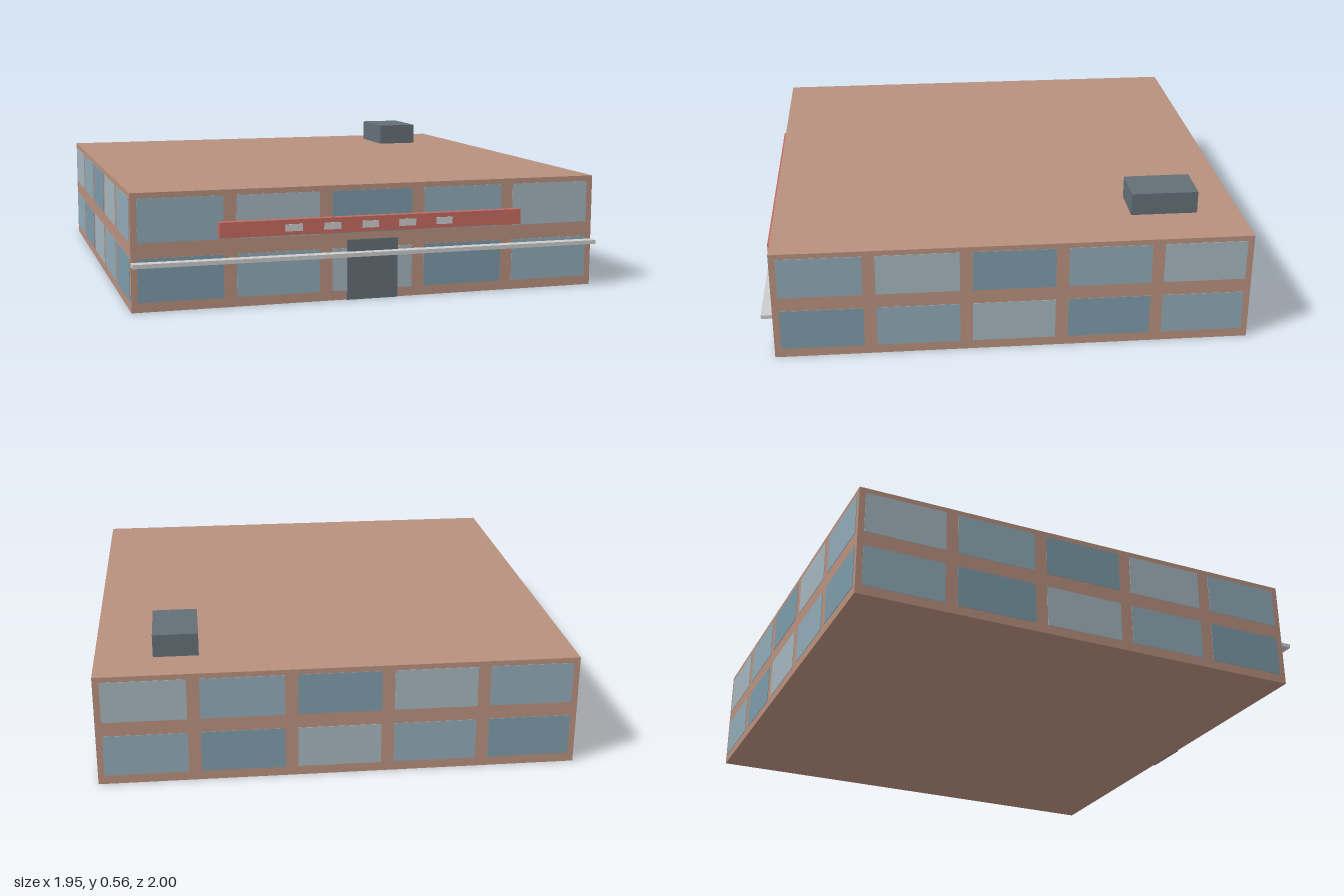
import * as THREE from 'three';

const W = 1.95, H = 0.466, Z0 = -0.998, Z1 = 0.955; // building extents
const D = Z1 - Z0, ZC = (Z0 + Z1) / 2;
const COLS = 5, ROWS = 2;

const mat = (color) => new THREE.MeshStandardMaterial({ color });

// Box given by its min and max corners
function block(name, material, [x0, y0, z0], [x1, y1, z1]) {
  const mesh = new THREE.Mesh(new THREE.BoxGeometry(x1 - x0, y1 - y0, z1 - z0), material);
  mesh.position.set((x0 + x1) / 2, (y0 + y1) / 2, (z0 + z1) / 2);
  mesh.name = name;
  return mesh;
}

export function createModel() {
  const model = new THREE.Group();
  model.name = 'shopBuilding';

  const brick = mat(0xb8907e), slate = mat(0x636f76), red = mat(0xc26a60), pale = mat(0xd2d2ce);
  const glass = [mat(0x8fa9b6), mat(0xa3b5bc), mat(0x7c9aa9)];

  // Main volume
  model.add(block('walls', brick, [-W / 2, 0, Z0], [W / 2, H, Z1]));

  // Window grids, three glass tints cycling along each facade
  const t = 0.002;
  function facade(name, span, place) {
    const group = new THREE.Group();
    group.name = name;
    const pitch = span / COLS, rowH = H / ROWS;
    for (let r = 0; r < ROWS; r++) {
      for (let c = 0; c < COLS; c++) {
        const pane = new THREE.Mesh(new THREE.BoxGeometry(pitch * 0.866, rowH * 0.74, t * 2), glass[(c + r + 2) % 3]);
        pane.name = 'window';
        place(pane, (c - (COLS - 1) / 2) * pitch);
        pane.position.y = rowH * (r + 0.535);
        group.add(pane);
      }
    }
    model.add(group);
  }
  facade('frontWindows', W, (p, u) => p.position.set(u, 0, Z1));
  facade('backWindows', W, (p, u) => p.position.set(u, 0, Z0));
  for (const side of [1, -1]) {
    facade(side > 0 ? 'leftWindows' : 'rightWindows', D, (p, u) => {
      p.position.set(side * W / 2, 0, ZC - u);
      p.rotation.y = Math.PI / 2;
    });
  }

  // Entrance and the canopy running along the front
  model.add(block('door', slate, [-0.108, 0, Z1 - 0.005], [0.106, 0.245, 0.962]));
  model.add(block('canopy', pale, [-W / 2, 0.181, Z1], [W / 2, 0.197, 1]));

  // Sign board with plain pale panels
  model.add(block('signBoard', red, [-0.635, 0.28, Z1], [0.633, 0.342, 0.988]));
  for (let i = -2; i <= 2; i++) {
    const x = -0.02 + i * 0.158;
    model.add(block('signPanel', pale, [x - 0.035, 0.296, 0.985], [x + 0.035, 0.324, 0.991]));
  }

  // Rooftop unit
  model.add(block('roofUnit', slate, [0.555, H, -0.815], [0.74, 0.561, -0.535]));

  return model;
}
